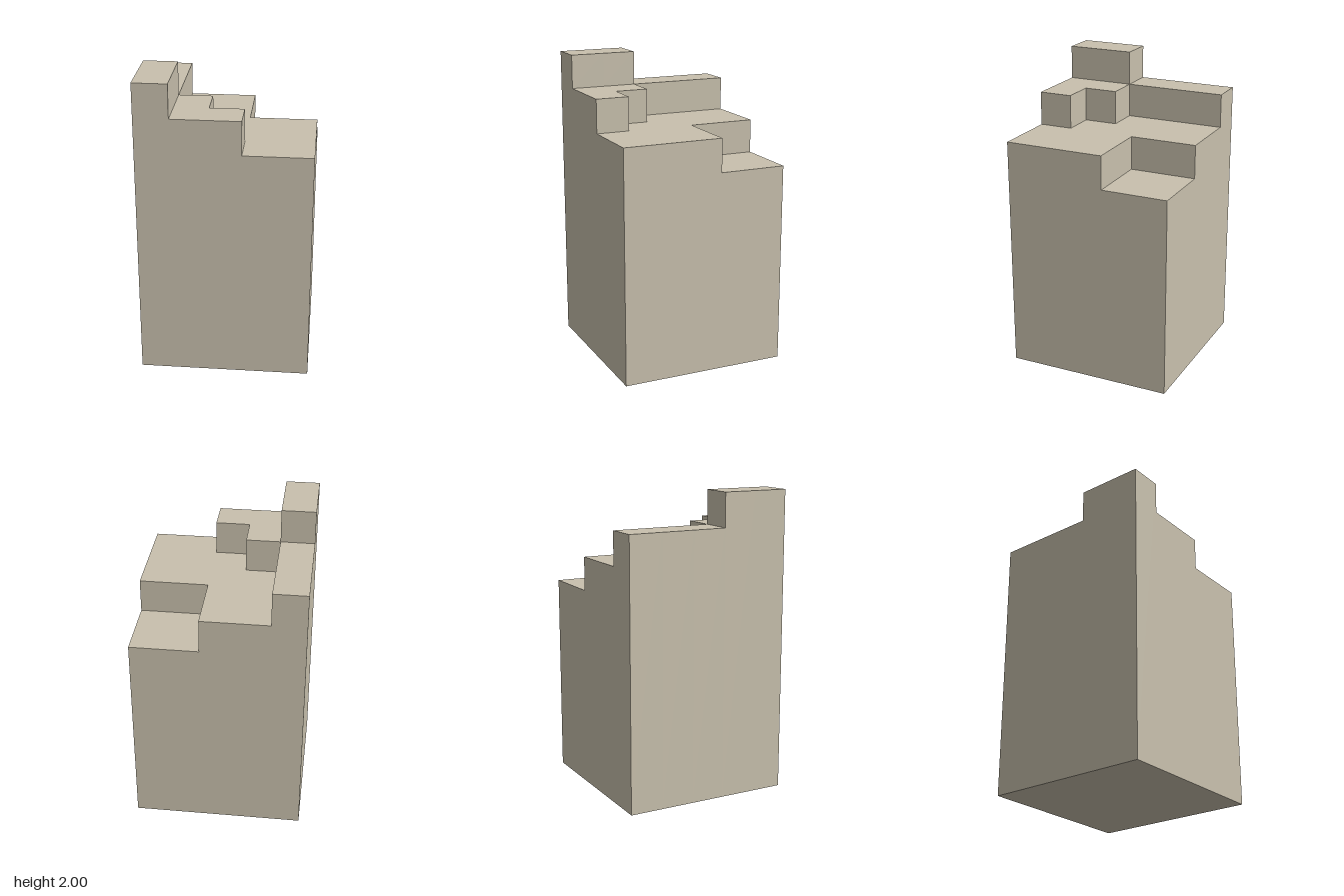
import * as THREE from 'three';

// Terrace heights in unit cells: rows run back to front, columns from -x to +x
const HEIGHTS = [
  [8, 7, 7, 6, 6],
  [8, 7, 7, 6, 6],
  [8, 7, 7, 7, 7],
  [9, 8, 7, 7, 7],
  [9, 8, 8, 7, 7],
];
const CELL = 2 / 9;

// Closed stepped block: only outward faces, none inside
function steppedBlock(heights) {
  const n = heights.length;
  const points = [];
  const quad = (a, b, c, d) => points.push(...[a, b, c, a, c, d].flat().map(v => v * CELL));
  const heightAt = (col, row) => heights[row]?.[col] ?? 0;

  for (let row = 0; row < n; row++) {
    for (let col = 0; col < n; col++) {
      const h = heightAt(col, row);
      const x = col - (n - 1) / 2, z = row - (n - 1) / 2;
      // Top of the cell
      quad([x - 0.5, h, z + 0.5], [x + 0.5, h, z + 0.5], [x + 0.5, h, z - 0.5], [x - 0.5, h, z - 0.5]);
      // Wall down to each lower neighbour
      for (const [dx, dz] of [[1, 0], [-1, 0], [0, 1], [0, -1]]) {
        const low = heightAt(col + dx, row + dz);
        if (low >= h) continue;
        const ax = x + (dx - dz) / 2, az = z + (dz + dx) / 2;
        const bx = x + (dx + dz) / 2, bz = z + (dz - dx) / 2;
        quad([ax, low, az], [bx, low, bz], [bx, h, bz], [ax, h, az]);
      }
    }
  }
  // Underside
  const r = n / 2;
  quad([-r, 0, -r], [r, 0, -r], [r, 0, r], [-r, 0, r]);

  const geometry = new THREE.BufferGeometry();
  geometry.setAttribute('position', new THREE.Float32BufferAttribute(points, 3));
  geometry.computeVertexNormals();
  return geometry;
}

export function createModel() {
  const stone = new THREE.MeshStandardMaterial({ color: 0xc8c0ad });
  stone.name = 'stone';

  const block = new THREE.Mesh(steppedBlock(HEIGHTS), stone);
  block.name = 'steppedBlock';

  const model = new THREE.Group();
  model.name = 'steppedPillar';
  model.add(block);
  return model;
}
